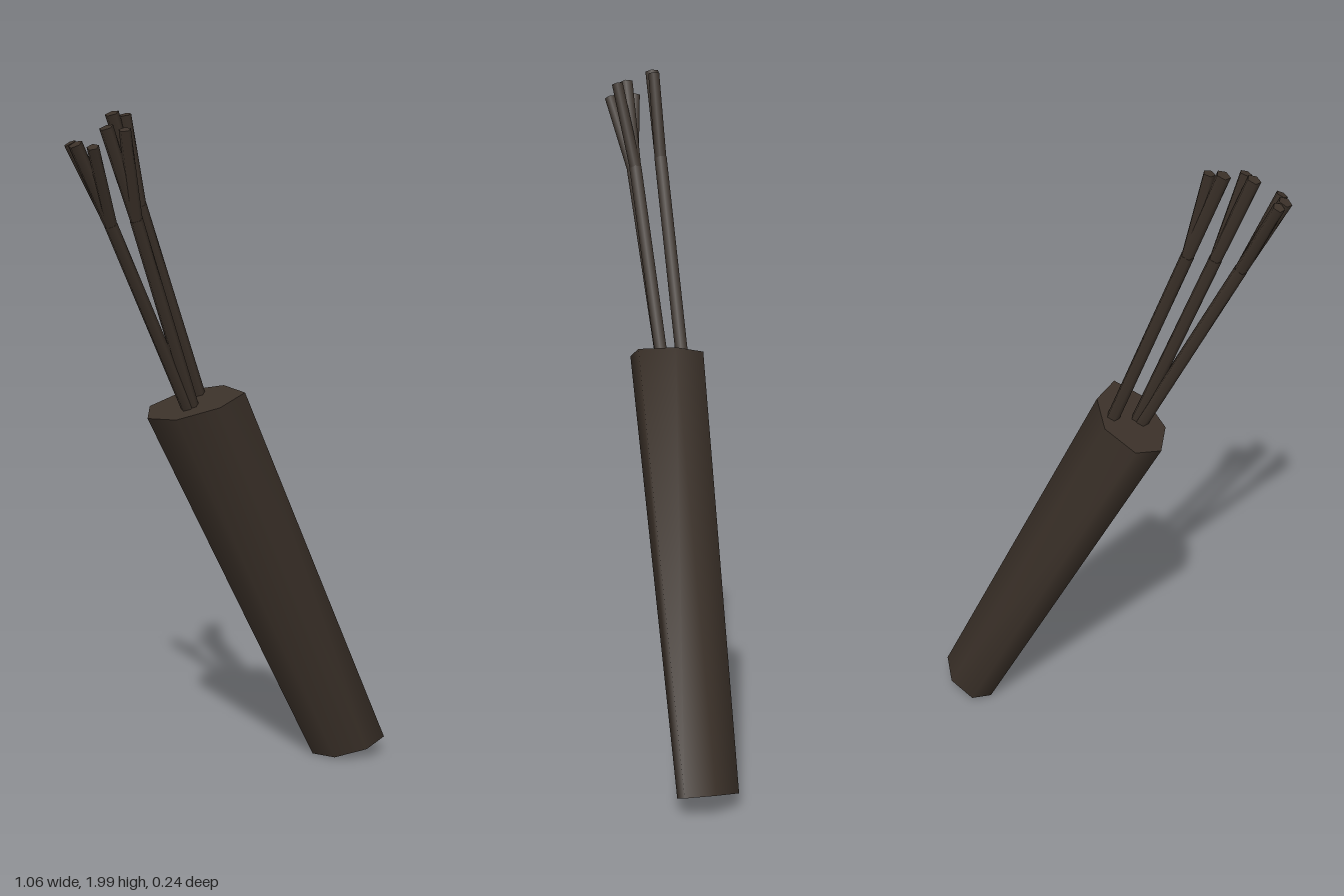
import * as THREE from 'three';

// Uneven seven-sided outline of the handle (x, z), counter-clockwise from above
const OUTLINE = [
  [-0.063, -0.12], [-0.114, -0.057], [-0.086, 0.043], [0.012, 0.115],
  [0.101, 0.112], [0.107, 0.003], [0.04, -0.095],
];

// One tilted ring of the outline
function ring(center, scale, slope) {
  return OUTLINE.map(([x, z]) => [
    center[0] + x * scale, center[1] + x * scale * slope, center[2] + z * scale,
  ]);
}

function indexed(points, index) {
  const g = new THREE.BufferGeometry();
  g.setAttribute('position', new THREE.Float32BufferAttribute(points.flat(), 3));
  g.setIndex(index);
  g.computeVertexNormals();
  return g;
}

export function createModel() {
  const model = new THREE.Group();
  const wood = new THREE.MeshStandardMaterial({ color: 0x3b3129 });
  wood.name = 'dark brown';

  const add = (geometry, name, parent = model) => {
    const mesh = new THREE.Mesh(geometry, wood);
    mesh.name = name;
    parent.add(mesh);
    return mesh;
  };

  // Tapered leaning handle: smooth sides, flat ends
  const low = [0.445, 0.036, 0.025], high = [-0.111, 1.175, 0];
  const bottom = ring(low, 0.8, 0.34), top = ring(high, 1, 0.355);
  const n = OUTLINE.length;
  const sides = [], topFan = [], bottomFan = [];
  for (let i = 0; i < n; i++) {
    const j = (i + 1) % n;
    sides.push(i, j, n + j, i, n + j, n + i);
    topFan.push(n, i, j);
    bottomFan.push(n, j, i);
  }
  add(indexed([...bottom, ...top], sides), 'handleSides');
  add(indexed([...top, high], topFan), 'handleTop');
  add(indexed([...bottom, low], bottomFan), 'handleBottom');

  // Thin twig between two points
  const twig = (from, to, r0, r1, name, parent) => {
    const a = new THREE.Vector3(...from), b = new THREE.Vector3(...to);
    const d = b.clone().sub(a);
    const mesh = add(new THREE.CylinderGeometry(r1, r0, d.length(), 5), name, parent);
    mesh.position.copy(a).add(b).multiplyScalar(0.5);
    mesh.quaternion.setFromUnitVectors(new THREE.Vector3(0, 1, 0), d.normalize());
  };

  // Three twigs, each forking near its tip
  const twigs = [
    {
      name: 'outerTwig', base: [-0.13, 1.15, 0.012], fork: [-0.4, 1.7, 0.035],
      tips: [[-0.51, 1.92, 0.04], [-0.485, 1.915, 0.085], [-0.505, 1.92, 0.005]],
    },
    {
      name: 'middleTwig', base: [-0.115, 1.15, 0.015], fork: [-0.325, 1.71, 0.045],
      tips: [[-0.42, 1.96, 0.05], [-0.385, 1.955, 0.085]],
    },
    {
      name: 'innerTwig', base: [-0.06, 1.17, -0.03], fork: [-0.27, 1.74, -0.018],
      tips: [[-0.36, 1.99, -0.014], [-0.32, 1.985, -0.01]],
    },
  ];
  for (const { name, base, fork, tips } of twigs) {
    const group = new THREE.Group();
    group.name = name;
    model.add(group);
    twig(base, fork, 0.019, 0.019, name + 'Stem', group);
    tips.forEach((tip, i) => twig(fork, tip, 0.018, i ? 0.017 : 0.02, name + 'Tip' + (i + 1), group));
  }
  return model;
}
